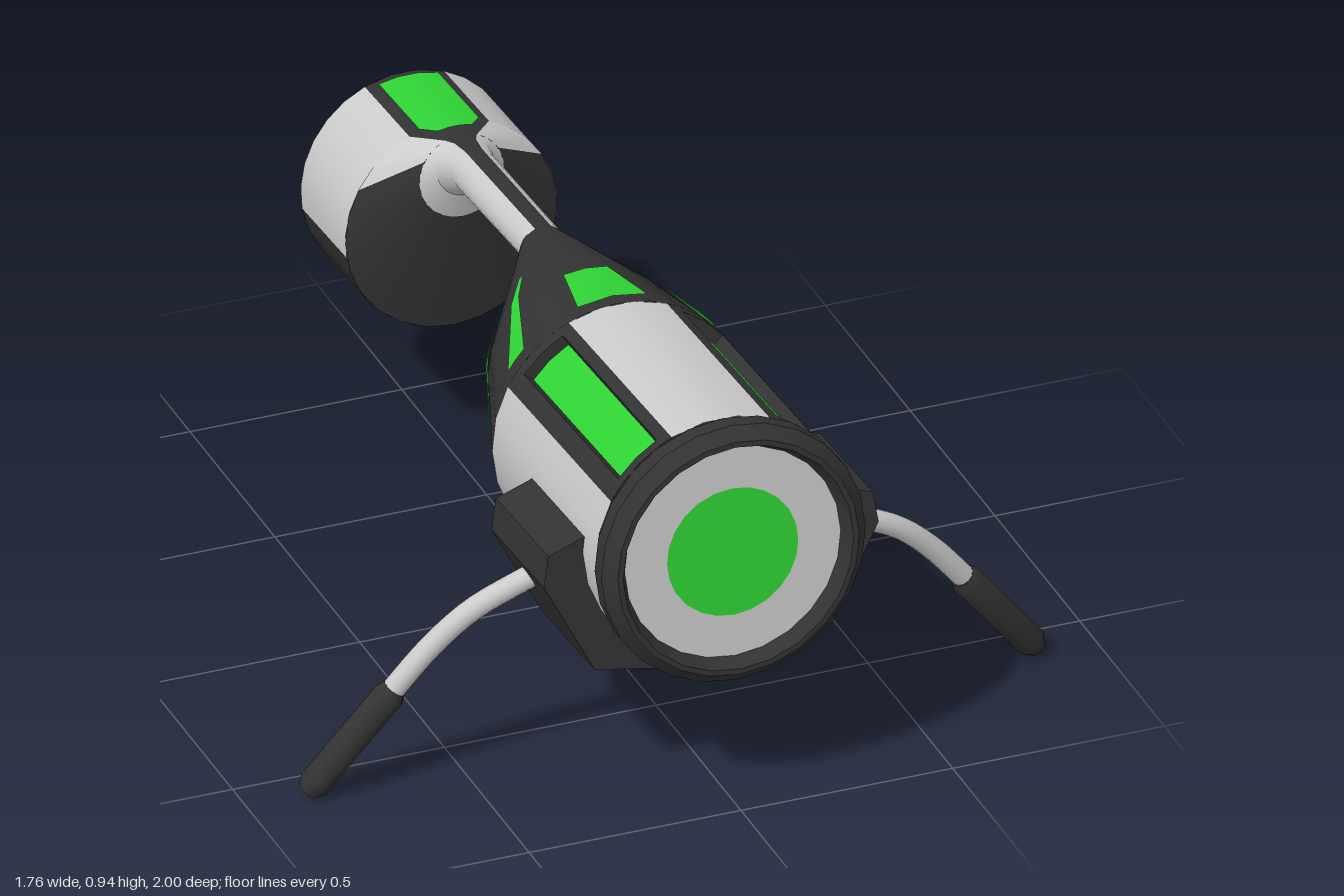
import * as THREE from 'three';
import { toCreasedNormals } from 'three/addons/utils/BufferGeometryUtils.js';

const mat = (color) => new THREE.MeshStandardMaterial({ color, side: THREE.DoubleSide });
const grey = mat(0xcccccc), dark = mat(0x333333), green = mat(0x2fd435);
const rad = THREE.MathUtils.degToRad;

// Sweep stations [z, radius, centreY, a0?, a1?] between two angles (0 = top, clockwise to +x).
function sector(name, material, stations, a0, a1, closed = false) {
  const n = Math.max(2, Math.ceil((a1 - a0) / 15));
  const rings = stations.map(([z, r, cy, s0 = a0, s1 = a1]) =>
    Array.from({ length: n + 1 }, (_, i) => {
      const a = rad(s0 + (s1 - s0) * i / n);
      return [r * Math.sin(a), cy + r * Math.cos(a), z];
    }));
  if (closed) rings.push(rings[0]);
  const pos = [];
  for (let j = 0; j < rings.length - 1; j++) {
    for (let i = 0; i < n; i++) {
      const a = rings[j][i], b = rings[j + 1][i], c = rings[j + 1][i + 1], d = rings[j][i + 1];
      pos.push(...a, ...b, ...d, ...b, ...c, ...d);
    }
  }
  // end caps of solid sectors
  if (closed) for (let j = 1; j < stations.length - 1; j++) {
    pos.push(...rings[0][0], ...rings[j + 1][0], ...rings[j][0]);
    pos.push(...rings[0][n], ...rings[j][n], ...rings[j + 1][n]);
  }
  const g = new THREE.BufferGeometry();
  g.setAttribute('position', new THREE.Float32BufferAttribute(pos, 3));
  const mesh = new THREE.Mesh(toCreasedNormals(g, 0.45), material);
  mesh.name = name;
  return mesh;
}

const CY = 0.578, R = 0.302;
const ring = (pts) => pts.map(([z, r]) => [z, r, CY]);
// solid bar following the barrel wall
const bar = (name, z0, z1, a0, a1) =>
  sector(name, dark, ring([[z0, R], [z1, R], [z1, 0.262], [z0, 0.262]]), a0, a1, true);

// Tapering rear housing, tangent along its top
const CONE = [[-0.13, 0.05, 0.815], [0.10, 0.222, 0.65], [0.32, R, CY]];
function coneAt(z) {
  const [p, q] = z < 0.10 ? [CONE[0], CONE[1]] : [CONE[1], CONE[2]];
  const t = (z - p[0]) / (q[0] - p[0]);
  return [z, p[1] + (q[1] - p[1]) * t + 0.006, p[2] + (q[2] - p[2]) * t];
}
// window strip on the cone, from wide end to narrow tip
function coneWindow(zTip, aTip, wTip, aBase, wBase) {
  const zs = zTip < 0.10 ? [zTip, 0.10, 0.29] : [zTip, 0.29];
  return sector('coneWindow', green, zs.map((z) => {
    const t = (z - zTip) / (0.29 - zTip);
    const a = aTip + (aBase - aTip) * t, w = wTip + (wBase - wTip) * t;
    return [...coneAt(z), a - w, a + w];
  }), 0, 30);
}

function barrel() {
  const g = new THREE.Group();
  g.name = 'barrel';
  const span = ring([[0.32, R], [0.93, R]]);
  g.add(sector('topPanel', grey, span, -22.5, 22.5));
  g.add(sector('underside', dark, span, 120, 240));
  for (const s of [1, -1]) {
    const arc = (a, b) => (s > 0 ? [a, b] : [-b, -a]);
    g.add(sector('sidePanel', grey, span, ...arc(60, 120)));
    // recessed light strip inside a four-bar frame
    g.add(sector('lightStrip', green, ring([[0.345, 0.274], [0.91, 0.274]]), ...arc(27, 52)));
    g.add(bar('frameRail', 0.32, 0.93, ...arc(22.5, 28)));
    g.add(bar('frameRail', 0.32, 0.93, ...arc(51, 60)));
    g.add(bar('frameEnd', 0.32, 0.35, ...arc(28, 51)));
    g.add(bar('frameEnd', 0.905, 0.93, ...arc(28, 51)));
  }
  // front rim and lens
  g.add(sector('frontRim', dark, ring([[0.925, 0.298], [0.95, 0.312], [0.99, 0.312],
    [1.02, 0.285], [1.02, 0.272], [0.985, 0.255]]), 0, 360));
  g.add(sector('lensRing', grey, ring([[0.985, 0.257], [0.985, 0.155]]), 0, 360));
  g.add(sector('lens', green, ring([[0.985, 0.155], [0.985, 0]]), 0, 360));
  return g;
}

function cone() {
  const g = new THREE.Group();
  g.name = 'cone';
  g.add(sector('coneShell', dark, [[-0.13, 0, 0.815], ...CONE], 0, 360));
  g.add(coneWindow(0.13, 0, 12.5, 0, 16));
  for (const s of [1, -1]) {
    g.add(coneWindow(0.03, 40 * s, 2, 51 * s, 6));
    g.add(coneWindow(-0.03, 74 * s, 2, 90 * s, 6.5));
    g.add(coneWindow(-0.02, 116 * s, 2, 124 * s, 7));
  }
  return g;
}

function armAndCup() {
  const g = new THREE.Group();
  g.name = 'armAndCup';
  const top = (pts) => pts.map(([z, r]) => [z, r, 0.867 - r]);
  const cup = top([[-0.94, 0.25], [-0.675, 0.25]]);
  const funnel = top([[-0.675, 0.25], [-0.605, 0.1]]);
  const arm = top([[-0.605, 0.1], [-0.58, 0.068], [-0.53, 0.052], [-0.12, 0.05]]);
  for (const [a, b] of [[22, 98], [-98, -22]]) g.add(sector('cupSide', grey, cup, a, b));
  for (const [a, b] of [[22, 60], [-60, -22]]) g.add(sector('funnelSide', grey, funnel, a, b));
  g.add(sector('cupUnderside', dark, cup, 98, 262));
  g.add(sector('funnelFace', dark, funnel, 60, 300));
  g.add(sector('arm', grey, arm, 22, 338));
  g.add(sector('topStripe', dark, [cup[0], ...funnel, ...arm.slice(1)], -22, 22));
  g.add(sector('cupBack', dark, [[-0.952, 0, 0.617], [-0.952, 0.24, 0.617], [-0.94, 0.25, 0.617]], 0, 360));
  // light on top of the cup, narrowing toward the arm
  g.add(sector('cupLight', green, [[-0.915, 0.255, 0.617, -16, 16],
    [-0.675, 0.255, 0.617, -16, 16], [-0.64, 0.18, 0.692, -13, 13]], -16, 16));
  return g;
}

// Cradle hugging the lower half of the barrel
function cradle() {
  const half = [[0.28, 0.285], [0.395, 0.51], [0.383, 0.585], [0.27, 0.625]];
  const shape = new THREE.Shape([[0, 0.235], ...half,
    ...half.slice().reverse().map(([x, y]) => [-x, y])].map(([x, y]) => new THREE.Vector2(x, y)));
  const geo = new THREE.ExtrudeGeometry(shape, { depth: 0.31, bevelEnabled: false });
  const mesh = new THREE.Mesh(geo, dark);
  mesh.name = 'cradle';
  mesh.position.z = 0.545;
  return mesh;
}

// Curved leg with a rubber grip
function leg(s) {
  const g = new THREE.Group();
  g.name = s > 0 ? 'leftLeg' : 'rightLeg';
  const v = (x, y, z) => new THREE.Vector3(x * s, y, z);
  const path = new THREE.CatmullRomCurve3([v(0.34, 0.51, 0.675), v(0.40, 0.485, 0.67),
    v(0.50, 0.435, 0.66), v(0.59, 0.355, 0.645), v(0.69, 0.235, 0.627)]);
  const tube = new THREE.Mesh(new THREE.TubeGeometry(path, 14, 0.026, 12), grey);
  tube.name = 'legTube';
  const from = v(0.67, 0.257, 0.63), to = v(0.86, 0.018, 0.592);
  const dir = to.clone().sub(from), len = dir.length();
  const profile = [[0, 0], [0.028, 0], [0.036, 0.02], [0.036, len - 0.025], [0.024, len], [0, len]]
    .map(([x, y]) => new THREE.Vector2(x, y));
  const grip = new THREE.Mesh(
    toCreasedNormals(new THREE.LatheGeometry(profile, 12).toNonIndexed(), 0.6), dark);
  grip.name = 'legGrip';
  grip.position.copy(from);
  grip.quaternion.setFromUnitVectors(new THREE.Vector3(0, 1, 0), dir.normalize());
  g.add(tube, grip);
  return g;
}

export function createModel() {
  const model = new THREE.Group();
  model.name = 'model';
  // the body leans back slightly on its legs
  const body = new THREE.Group();
  body.name = 'body';
  body.rotation.x = -0.055;
  body.add(barrel(), cone(), armAndCup(), cradle());
  model.add(body, leg(1), leg(-1));
  return model;
}
